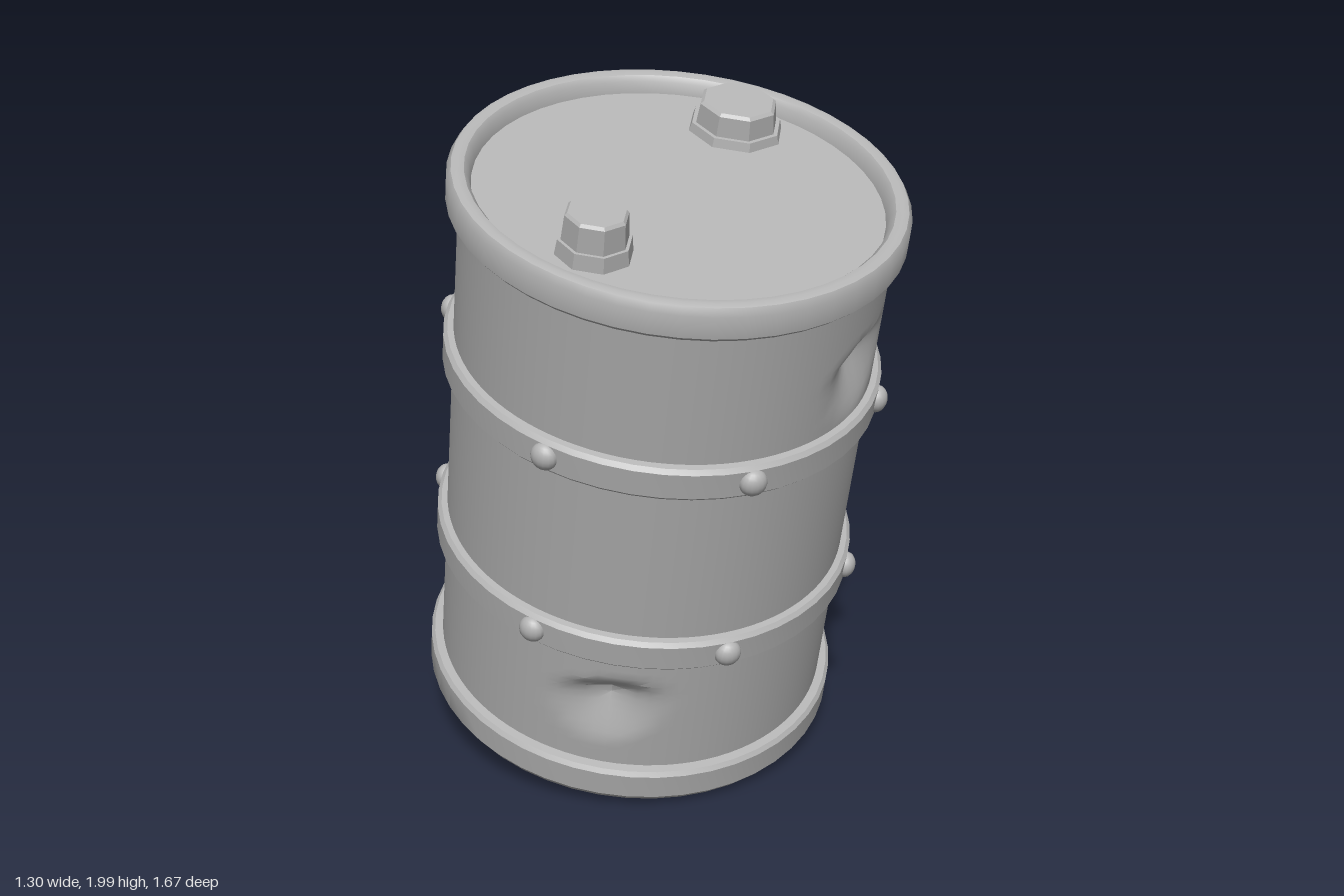
import * as THREE from 'three';
import { toCreasedNormals } from 'three/addons/utils/BufferGeometryUtils.js';

const steel = new THREE.MeshStandardMaterial({ color: 0xb4b4b4 });
steel.name = 'greySteel';

// The drum is slightly oval and its ends are a little out of parallel.
function warp(v) {
  const z = v.z * 1.037;
  return v.set(v.x, v.y - z * 0.025 * (v.y - 0.95), z);
}

// Dents in the shell: angle from the front, height, depth
const dents = [
  { angle: 0.8, y: 1.5, depth: 0.065 },
  { angle: -0.4, y: 0.465, depth: 0.06 },
];
function dent(v) {
  const angle = Math.atan2(v.x, v.z);
  let radius = Math.hypot(v.x, v.z);
  for (const d of dents) {
    const across = (angle - d.angle) * 0.59 / 0.17;
    const dy = v.y - d.y - across * 0.015;
    const up = dy / (dy > 0 ? 0.075 : 0.17);
    const fall = Math.max(0, 1 - Math.hypot(across, up));
    radius -= d.depth * Math.pow(fall, 1.2);
  }
  v.x = Math.sin(angle) * radius;
  v.z = Math.cos(angle) * radius;
}

function reshape(geometry, ...rules) {
  const p = geometry.attributes.position;
  const v = new THREE.Vector3();
  for (let i = 0; i < p.count; i++) {
    v.fromBufferAttribute(p, i);
    rules.forEach((rule) => rule(v));
    p.setXYZ(i, v.x, v.y, v.z);
  }
  return geometry;
}

function part(name, geometry, crease = 0.6) {
  const mesh = new THREE.Mesh(toCreasedNormals(geometry, crease), steel);
  mesh.name = name;
  return mesh;
}

function turned(name, profile, segments = 48) {
  const points = profile.map(([r, y]) => new THREE.Vector2(r, y));
  return part(name, reshape(new THREE.LatheGeometry(points, segments), warp));
}

// Eight-sided stopper with a flange at its foot
function bung(name, x, z, radius, flangeTop, top) {
  const group = new THREE.Group();
  group.name = name;
  const floor = 1.77;
  const piece = (label, rTop, rBottom, y0, y1) => {
    const g = new THREE.CylinderGeometry(rTop, rBottom, y1 - y0, 8);
    g.translate(x, (y0 + y1) / 2, z / 1.037);
    group.add(part(label, reshape(g, warp), 0.3));
  };
  piece('flange', radius * 1.1, radius * 1.17, floor, flangeTop);
  piece('cap', radius * 0.94, radius, flangeTop, top - 0.008);
  piece('capTop', radius * 0.86, radius * 0.94, top - 0.008, top);
  return group;
}

export function createModel() {
  const model = new THREE.Group();
  model.name = 'drum';

  // Leaning barrel, built upright in its own frame
  const barrel = new THREE.Group();
  barrel.name = 'barrel';
  barrel.rotation.set(THREE.MathUtils.degToRad(14), 0, -0.028);
  barrel.position.set(-0.032, 0.06, -0.24);
  model.add(barrel);

  // Dented shell
  const shell = new THREE.CylinderGeometry(0.592, 0.592, 1.6, 96, 64, true);
  shell.translate(0, 0.95, 0);
  barrel.add(part('shell', reshape(shell, dent, warp), 0.45));

  // Top rim with recessed lid
  barrel.add(turned('topRim', [
    [0.59, 1.722], [0.615, 1.725], [0.627, 1.738], [0.627, 1.802], [0.615, 1.822],
    [0.6, 1.827], [0.58, 1.822], [0.568, 1.808], [0.56, 1.775],
  ]));
  barrel.add(turned('lid', [[0.562, 1.775], [0, 1.775]]));

  // Bottom rim with recessed base
  barrel.add(turned('bottomRim', [
    [0.535, 0.105], [0.542, 0.085], [0.56, 0.078], [0.585, 0.08], [0.61, 0.095],
    [0.627, 0.12], [0.627, 0.2], [0.617, 0.213], [0.59, 0.216],
  ]));
  barrel.add(turned('base', [[0, 0.105], [0.537, 0.105]]));

  // Hoops with six rivets each
  const rivetAngles = [7.5, 61, 134, 188, 244, 315];
  for (const [name, y] of [['lowerHoop', 0.665], ['upperHoop', 1.27]]) {
    barrel.add(turned(name, [
      [0.588, y - 0.053], [0.61, y - 0.05], [0.621, y - 0.038],
      [0.621, y + 0.038], [0.61, y + 0.05], [0.588, y + 0.053],
    ]));
    for (const degrees of rivetAngles) {
      const a = THREE.MathUtils.degToRad(degrees);
      const rivet = new THREE.Mesh(new THREE.SphereGeometry(0.039, 16, 12), steel);
      rivet.name = 'rivet';
      rivet.position.copy(warp(new THREE.Vector3(Math.sin(a) * 0.619, y, Math.cos(a) * 0.619)));
      rivet.rotation.y = a;
      rivet.scale.z = 0.8;
      barrel.add(rivet);
    }
  }

  // Stoppers on the lid
  barrel.add(bung('largeBung', 0.26, -0.345, 0.12, 1.8, 1.865));
  barrel.add(bung('smallBung', -0.3, 0.275, 0.09, 1.818, 1.895));

  return model;
}
